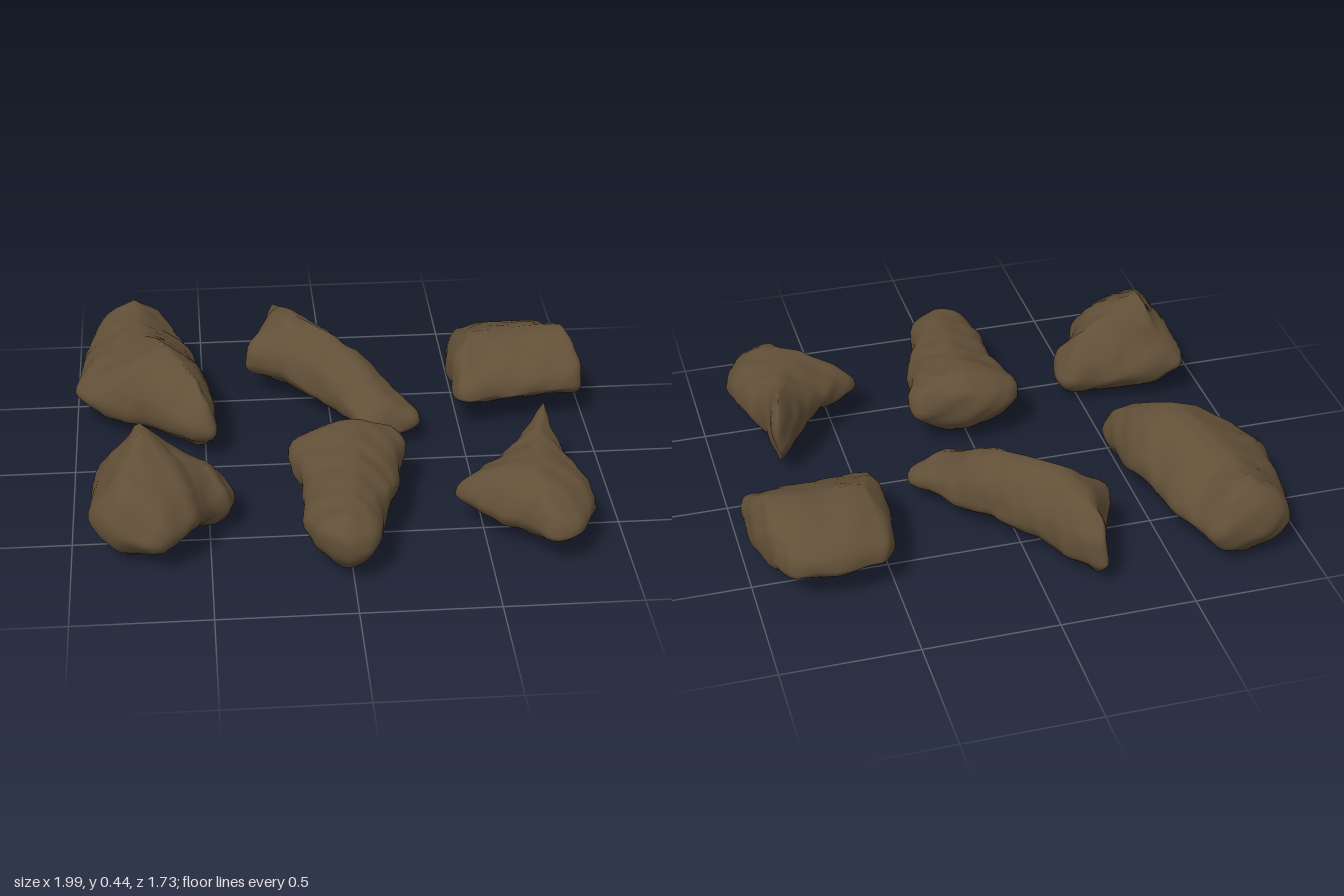
import * as THREE from 'three';
import { mergeVertices } from 'three/addons/utils/BufferGeometryUtils.js';

const { lerp, clamp } = THREE.MathUtils;

// Point on the crest line at t from 0 to 1
function crestAt(crest, t) {
  const s = t * (crest.length - 1);
  const i = Math.min(Math.floor(s), crest.length - 2);
  return crest[i].clone().lerp(crest[i + 1], s - i);
}

// How far along the crest a plan point lies
function alongCrest(p, crest) {
  const a = crest[0], b = crest[crest.length - 1];
  const dx = b.x - a.x, dz = b.z - a.z;
  return clamp(((p.x - a.x) * dx + (p.z - a.z) * dz) / (dx * dx + dz * dz), 0, 1);
}

// Smooth lumps that roughen the stone
function lump(x, y, z) {
  return 0.007 * Math.sin(19 * x + 11 * y + 3) * Math.cos(17 * z - 9 * y)
    + 0.005 * Math.sin(37 * z + 23 * x) * Math.cos(31 * y - 29 * x);
}

// Rings run from the underside out to the widest rim and in again to the crest.
// outline: plan points [x, z]; crest: [x, z, height]; base: lowest height;
// rim: height of the widest ring as a share of the rock; full: lower is rounder.
function rockGeometry(outline, crest, { base, rim, full }) {
  const curve = new THREE.CatmullRomCurve3(
    outline.map(([x, z]) => new THREE.Vector3(x, 0, z)), true, 'catmullrom', 0.35);
  const crestLine = crest.map(([x, z, y]) => new THREE.Vector3(x, y, z));
  const around = 110, crestSteps = 8, half = 8, rows = half * 2 + 1;
  const positions = [], index = [];

  for (let i = 0; i < around; i++) {
    const edge = curve.getPointAt(i / around);
    const t = alongCrest(edge, crestLine);
    const smoothTop = crestAt(crestLine, t);
    // Both flanks share the same crest points, so the seam is closed
    const sharedTop = crestAt(crestLine, Math.round(t * crestSteps) / crestSteps);
    const rimY = lerp(base, smoothTop.y, rim);
    for (let j = -half; j <= half; j++) {
      const top = Math.abs(j) === half ? sharedTop : smoothTop;
      const inset = Math.pow(Math.abs(j) / half, 2);
      const x = lerp(edge.x, top.x, inset);
      const z = lerp(edge.z, top.z, inset);
      const y = j < 0
        ? lerp(rimY, base, Math.pow(inset, 0.5))
        : lerp(rimY, top.y, Math.pow(inset, full));
      positions.push(x + lump(x, y, z), Math.max(0, y + lump(z, x, y)), z + lump(y, z, x));
    }
    for (let j = 0; j < rows - 1; j++) {
      const a = i * rows + j, b = ((i + 1) % around) * rows + j;
      index.push(a, a + 1, b, b, a + 1, b + 1);
    }
  }
  const geometry = new THREE.BufferGeometry();
  geometry.setAttribute('position', new THREE.Float32BufferAttribute(positions, 3));
  geometry.setIndex(index);
  const merged = mergeVertices(geometry, 0.0005);
  merged.computeVertexNormals();
  return merged;
}

export function createModel() {
  const group = new THREE.Group();
  group.name = 'rocks';
  const stone = new THREE.MeshStandardMaterial({ color: 0x625038 });
  stone.name = 'brownStone';

  function addRock(name, outline, crest, shape) {
    const mesh = new THREE.Mesh(rockGeometry(outline, crest, shape), stone);
    mesh.name = name;
    group.add(mesh);
  }

  // Back row
  addRock('longRock',
    [[-0.92, -0.81], [-0.78, -0.87], [-0.61, -0.82], [-0.5, -0.45], [-0.45, -0.06],
      [-0.54, -0.04], [-0.74, -0.17], [-0.91, -0.24], [-1, -0.38], [-0.97, -0.6]],
    [[-0.77, -0.78, 0.34], [-0.75, -0.64, 0.31], [-0.72, -0.47, 0.34],
      [-0.64, -0.29, 0.37], [-0.54, -0.16, 0.3]],
    { base: 0.01, rim: 0.42, full: 0.55 });
  addRock('narrowRock',
    [[-0.2, -0.86], [0, -0.62], [0.3, -0.2], [0.31, -0.09], [0.1, -0.05],
      [0.04, -0.17], [-0.2, -0.45], [-0.33, -0.53], [-0.25, -0.7]],
    [[-0.2, -0.78, 0.29], [-0.14, -0.58, 0.36], [0.07, -0.33, 0.32], [0.2, -0.14, 0.2]],
    { base: 0.03, rim: 0.4, full: 0.42 });
  addRock('blockRock',
    [[0.485, -0.55], [0.53, -0.66], [0.64, -0.69], [0.88, -0.67],
      [0.98, -0.4], [0.98, -0.24], [0.75, -0.21], [0.485, -0.19]],
    [[0.56, -0.42, 0.31], [0.75, -0.45, 0.32], [0.92, -0.42, 0.33]],
    { base: 0.05, rim: 0.4, full: 0.42 });

  // Front row
  addRock('peakedRock',
    [[-0.9, 0.28], [-0.78, 0.26], [-0.55, 0.3], [-0.42, 0.34], [-0.42, 0.48],
      [-0.5, 0.54], [-0.54, 0.64], [-0.66, 0.74], [-0.86, 0.67], [-0.93, 0.55]],
    [[-0.79, 0.58, 0.36], [-0.74, 0.39, 0.44], [-0.53, 0.41, 0.29]],
    { base: 0.01, rim: 0.38, full: 0.6 });
  addRock('wedgeRock',
    [[-0.19, 0.2], [-0.02, 0.13], [0.23, 0.18], [0.2, 0.38], [0.12, 0.68],
      [0.07, 0.82], [-0.03, 0.86], [-0.15, 0.76], [-0.17, 0.4]],
    [[0.04, 0.23, 0.32], [0.02, 0.5, 0.29], [-0.02, 0.76, 0.27]],
    { base: 0.03, rim: 0.52, full: 0.36 });
  addRock('pointedRock',
    [[0.77, 0.12], [0.8, 0.28], [0.89, 0.6], [0.8, 0.77], [0.7, 0.79],
      [0.52, 0.61], [0.39, 0.48], [0.55, 0.37], [0.68, 0.21]],
    [[0.75, 0.19, 0.34], [0.71, 0.38, 0.32], [0.66, 0.57, 0.3]],
    { base: 0.04, rim: 0.43, full: 0.42 });
  return group;
}
